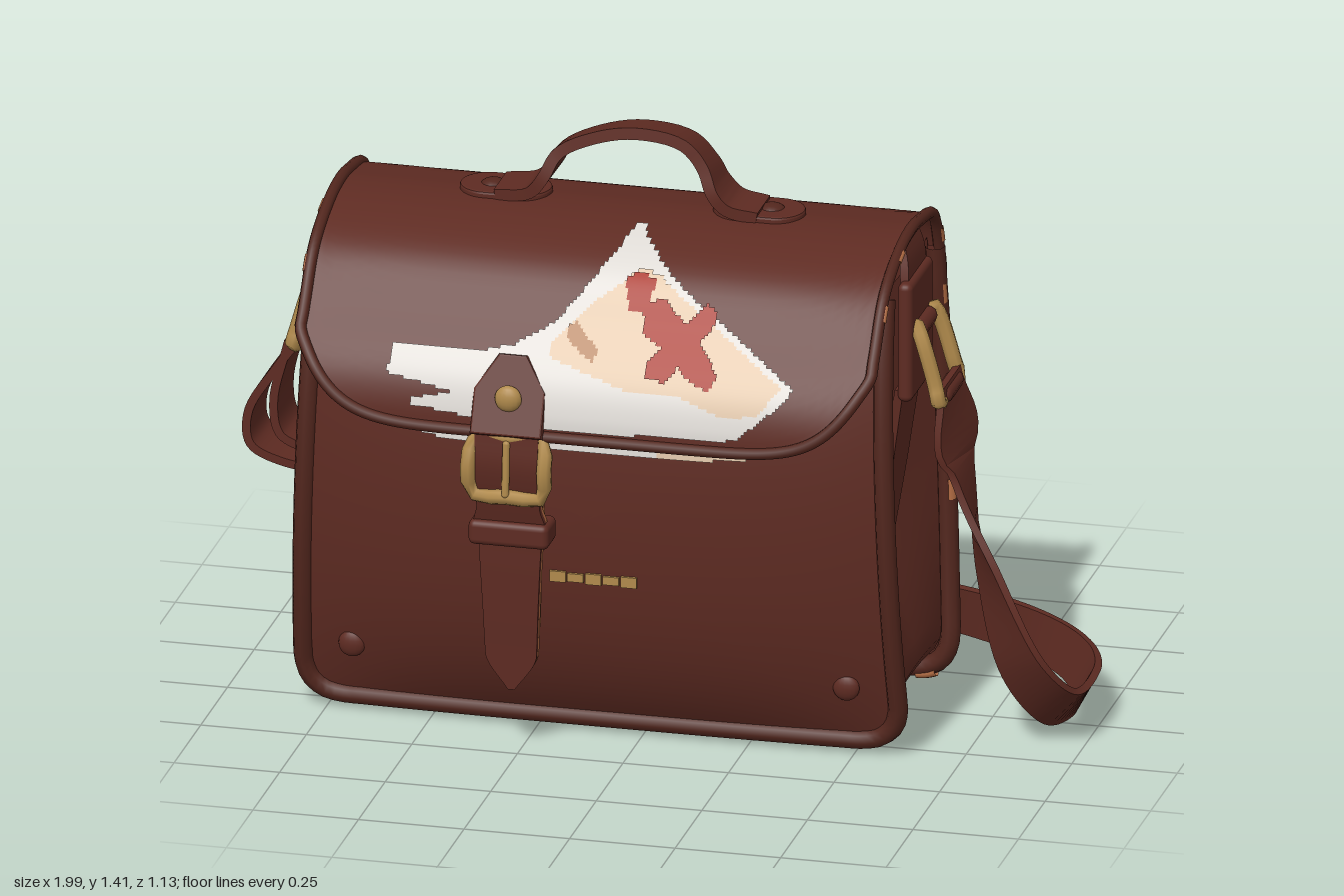
import * as THREE from 'three';
import { mergeVertices, toCreasedNormals } from 'three/addons/utils/BufferGeometryUtils.js';
import { RoundedBoxGeometry } from 'three/addons/geometries/RoundedBoxGeometry.js';
import { ParametricGeometry } from 'three/addons/geometries/ParametricGeometry.js';

const CX = -0.1; // body centre in x
const V = (x, y, z) => new THREE.Vector3(x, y, z);
const { lerp, clamp, smoothstep } = THREE.MathUtils;

function material(name, color) {
  const m = new THREE.MeshStandardMaterial({ color, side: THREE.DoubleSide });
  m.name = name;
  return m;
}

// Depth of the seams and of the bulging panels
const rimF = y => 0.36 - 0.24 * (y - 0.58) ** 2;
const rimB = y => -0.195 + 0.08 * (y - 0.58) ** 2;
const swell = (x, w, k) => {
  const u = Math.min(1, Math.abs(x - CX) / 0.71);
  return (1 - u ** 3) * (1 - Math.min(1, Math.abs(w)) ** k);
};
const frontZ = (x, y) => rimF(y) + 0.08 * swell(x, (y - 0.57) / 0.56, 4);
const backZ = (x, y) => rimB(y) - 0.095 * swell(x, (y - 0.46) / 0.52, 3);

// Panel outline: slightly tapered U, optionally closed along the top
function outline(inset, top, closed) {
  const a = 0.675 - inset, b = 0.71 - inset, y0 = 0.03 + inset, r = 0.1;
  const s = new THREE.Path().moveTo(-a, top).lineTo(-b, y0 + r);
  s.quadraticCurveTo(-b, y0, -b + r, y0).lineTo(b - r, y0);
  s.quadraticCurveTo(b, y0, b, y0 + r).lineTo(a, top);
  if (closed) s.lineTo(-a, top);
  return s;
}

function surface(fn, nu, nv) {
  const g = new ParametricGeometry(fn, nu, nv);
  g.computeVertexNormals();
  return g;
}

// Flap: columns running from the back seam over the top to the front edge
const columns = new Map();
function flapCurve(u) {
  if (!columns.has(u)) {
    const x = CX + 0.675 * u;
    const pts = [0.62, 0.76, 0.92].map(y => V(x, y, backZ(x, y) - 0.01));
    const over = [[1.08, -0.185], [1.175, -0.13], [1.207, 0], [1.214, 0.08], [1.2, 0.19],
      [1.14, 0.33], [1.035, 0.415], [0.92, 0.5], [0.85, 0.523], [0.8, 0.527]];
    over.forEach(([y, z]) => pts.push(V(x, y, z)));
    columns.set(u, new THREE.CatmullRomCurve3(pts));
  }
  return columns.get(u);
}
const flapPoint = (u, v) => flapCurve(u).getPointAt(clamp(v * (1 - 0.14 * Math.abs(u) ** 8), 0, 1));
const flapProfile = flapCurve(0).getSpacedPoints(300).filter(p => p.z > 0.09);
function flapZ(x, y) {
  const i = Math.max(1, flapProfile.findIndex(p => p.y <= y));
  const a = flapProfile[i - 1], b = flapProfile[i];
  return lerp(a.z, b.z, (a.y - y) / (a.y - b.y));
}

// Flat strip with a rectangular section; points and half-width vectors are splined
function ribbon(points, widths, thick, n = 48) {
  const path = new THREE.CatmullRomCurve3(points.map(p => V(...p)));
  const wide = new THREE.CatmullRomCurve3(widths.map(p => V(...p)));
  const corner = [[-1, -1], [1, -1], [1, 1], [-1, 1], [-1, -1]];
  const g = new ParametricGeometry((u, v, out) => {
    const t = clamp((u * (n + 2) - 1) / n, 0, 1);
    const end = u < 1e-4 || u > 1 - 1e-4 ? 0 : 1;
    const w = wide.getPoint(t);
    const nrm = path.getTangent(t).cross(w).normalize();
    const [a, b] = corner[Math.round(v * 4)];
    out.copy(path.getPoint(t)).addScaledVector(w, a * end).addScaledVector(nrm, b * end * thick / 2);
  }, n + 2, 4);
  return toCreasedNormals(g, 0.7);
}

function inside(poly, x, y) {
  let hit = false;
  poly.forEach(([ax, ay], i) => {
    const [bx, by] = poly[(i + 1) % poly.length];
    if ((ay > y) !== (by > y) && x < ax + (bx - ax) * (y - ay) / (by - ay)) hit = !hit;
  });
  return hit;
}

// Painted area made of small cells laid just above a surface z = zf(x, y)
function paint(poly, zf, lift) {
  const d = 0.007, pos = [];
  const at = (x, y) => {
    const z = zf(x, y), slope = (zf(x, y + 0.004) - zf(x, y - 0.004)) / 0.008;
    const p = V(0, -slope, 1).normalize().multiplyScalar(lift).add(V(x, y, z));
    return [p.x, p.y, p.z];
  };
  for (let x = -0.7; x < 0.5; x += d) for (let y = 0.7; y < 1.203; y += d) {
    if (!inside(poly, x + d / 2, y + d / 2)) continue;
    const a = at(x, y), b = at(x + d, y), c = at(x + d, y + d), e = at(x, y + d);
    pos.push(...a, ...b, ...c, ...a, ...c, ...e);
  }
  let g = new THREE.BufferGeometry();
  g.setAttribute('position', new THREE.Float32BufferAttribute(pos, 3));
  g = mergeVertices(g);
  g.computeVertexNormals();
  return g;
}

export function createModel() {
  const root = new THREE.Group();
  const leather = material('brown leather', 0x5e2b22);
  const trim = material('dark leather trim', 0x52261d);
  const brass = material('brass', 0xb08a4c);
  const tan = material('raw leather edge', 0xb06b42);
  const white = material('white paint', 0xdedad5);
  const peach = material('peach paint', 0xe0c6aa);
  const red = material('red paint', 0xa82810);
  const ochre = material('ochre paint', 0xb78660);

  function add(name, geo, mat, x = 0, y = 0, z = 0) {
    const m = new THREE.Mesh(geo, mat);
    m.name = name;
    m.position.set(x, y, z);
    root.add(m);
    return m;
  }
  function bar(name, a, b, r, mat) {
    const m = add(name, new THREE.CapsuleGeometry(r, a.distanceTo(b), 4, 10), mat);
    m.position.copy(a).lerp(b, 0.5);
    m.quaternion.setFromUnitVectors(V(0, 1, 0), b.clone().sub(a).normalize());
  }
  function tube(name, pts, r, mat, closed = false) {
    const curve = new THREE.CatmullRomCurve3(pts, closed);
    add(name, new THREE.TubeGeometry(curve, pts.length * 2, r, 8, closed), mat);
  }
  function stud(name, x, y, z, r, mat) {
    return add(name, new THREE.SphereGeometry(r, 16, 10), mat, x, y, z);
  }

  // Front and back panels with piping and rivets
  for (const [side, zf, top] of [['front', frontZ, 1.12], ['back', backZ, 1.08]]) {
    const edge = outline(0, top, true);
    add(side + 'Panel', surface((u, v, out) => {
      const p = edge.getPoint(u);
      const x = CX + p.x * v, y = lerp(0.57, p.y, v);
      out.set(x, y, zf(x, y));
    }, 96, 14), leather);
    const along = (inset, a, b, n, dz = 0) => {
      const rim = outline(inset, top, false);
      return Array.from({ length: n + 1 }, (_, i) => {
        const p = rim.getPoint(lerp(a, b, i / n));
        return V(CX + p.x, p.y, zf(CX + p.x, p.y) + dz);
      });
    };
    tube(side + 'Piping', along(0.006, 0, 1, 80), 0.024, trim);
    for (const x of [-0.68, 0.49]) stud(side + 'Rivet', x, 0.18, zf(x, 0.18), 0.032, leather).scale.z = 0.5;
    if (side === 'front') continue;
    // Thin streaks where the back edge is worn, long on one side and base
    for (let i = 0; i < 16; i++) {
      const t = 0.03 + i * 0.034;
      tube('wornEdge', along(-0.004, t, t + 0.02 + 0.005 * (i % 3), 6, i % 3 ? -0.013 : 0.004), 0.0125, tan);
    }
    for (const t of [0.6, 0.68, 0.82, 0.89, 0.93, 0.96]) tube('wornEdge', along(-0.006, t, t + 0.014, 5, 0.006), 0.012, tan);
  }

  // Gusset: sides and base, with the sides folded inwards
  const seam = outline(0.025, 1.1, false);
  add('gusset', surface((u, v, out) => {
    const p = seam.getPoint(u), k = 2 * v - 1;
    const fold = smoothstep(p.y, 0.08, 0.6) * (1 - Math.abs(k) ** 1.3);
    const y = p.y - 0.12 * smoothstep(p.y, 0.8, 1.1) * (1 - k * k) + 0.02 * (1 - k * k) * (1 - smoothstep(p.y, 0.06, 0.2));
    out.set(CX + p.x * (1 - 0.16 * fold), y, lerp(rimF(p.y), rimB(p.y), v));
  }, 100, 16), leather);

  // Flap, its piping and a few worn flecks on the side edges
  add('flap', surface((u, v, out) => out.copy(flapPoint(u * 2 - 1, v)), 48, 56), leather);
  const edge = [];
  for (let i = 0; i < 40; i++) edge.push(flapPoint(-1, i / 40));
  for (let i = 0; i <= 60; i++) edge.push(flapPoint(i / 30 - 1, 1));
  for (let i = 39; i >= 0; i--) edge.push(flapPoint(1, i / 40));
  tube('flapPiping', edge, 0.014, trim);
  tube('backSeam', Array.from({ length: 31 }, (_, i) => flapPoint(i / 15 - 1, 0)), 0.006, trim);
  for (const s of [-1, 1]) for (const v of [0.06, 0.13, 0.24, 0.31, 0.38, 0.72, 0.86]) {
    const pts = Array.from({ length: 5 }, (_, i) => flapPoint(s, v + i * 0.008).add(V(s * 0.008, 0, 0)));
    tube('wornFlapEdge', pts, 0.0085, tan);
  }

  // Painted picture on the flap, continued on the front panel
  add('whitePaint', paint([[-0.045, 1.205], [-0.03, 1.205], [0.08, 1.14], [0.4, 0.95], [0.38, 0.92], [0.27, 0.83], [-0.2, 0.815], [-0.5, 0.85],
    [-0.5, 0.865], [-0.4, 0.885], [-0.56, 0.915], [-0.55, 0.97], [-0.36, 0.97], [-0.27, 0.99], [-0.18, 1.04]], flapZ, 0.005), white);
  add('peachPaint', paint([[0.0, 1.15], [0.05, 1.14], [0.37, 0.95], [0.32, 0.89], [0.24, 0.88], [0.12, 0.92], [0.0, 0.92], [-0.18, 0.97],
    [-0.18, 1.0], [-0.1, 1.08]], flapZ, 0.008), peach);
  add('ochrePaint', paint([[-0.15, 1.03], [-0.13, 1.04], [-0.07, 0.99], [-0.08, 0.965], [-0.15, 1.01]], flapZ, 0.011), ochre);
  add('redBlot', paint([[-0.03, 1.13], [0, 1.145], [0.04, 1.13], [0.035, 1.07], [-0.01, 1.07]], flapZ, 0.011), red);
  add('redStrokeLong', paint([[0.02, 1.09], [0.07, 1.1], [0.13, 1.05], [0.17, 1.02], [0.22, 0.96], [0.2, 0.93], [0.15, 0.95],
    [0.1, 0.99], [0.03, 1.03]], flapZ, 0.0115), red);
  add('redStrokeShort', paint([[0.17, 1.1], [0.2, 1.08], [0.19, 1.05], [0.13, 0.98], [0.1, 0.94], [0.05, 0.945], [0.05, 0.98],
    [0.1, 1.03]], flapZ, 0.012), red);
  add('lowerWhitePaint', paint([[-0.66, 0.81], [-0.58, 0.77], [-0.48, 0.74], [-0.35, 0.73], [0.06, 0.735], [0.06, 0.8]], frontZ, 0.004), white);
  add('lowerPeachPaint', paint([[0.06, 0.8], [0.06, 0.735], [0.25, 0.74], [0.38, 0.77], [0.42, 0.8]], frontZ, 0.004), peach);

  // Carrying handle with its two riveted pads
  const pad = new THREE.Shape();
  pad.absarc(-0.04, 0, 0.062, Math.PI / 2, Math.PI * 1.5);
  pad.absarc(0.04, 0, 0.062, -Math.PI / 2, Math.PI / 2);
  const padGeo = new THREE.ExtrudeGeometry(pad, { depth: 0.016, bevelSize: 0.006, bevelThickness: 0.006, bevelSegments: 2, curveSegments: 16 });
  for (const x of [-0.39, 0.21]) {
    add('handlePad', padGeo, leather, x, 1.205, 0.05).rotation.x = -Math.PI / 2;
    stud('handleRivet', x + (x < 0 ? -0.03 : 0.03), 1.222, 0.05, 0.03, trim).scale.y = 0.5;
  }
  add('handle', ribbon([[-0.4, 1.222, 0.06], [-0.32, 1.235, 0.06], [-0.285, 1.275, 0.06], [-0.255, 1.325, 0.055], [-0.17, 1.368, 0.05],
    [-0.07, 1.388, 0.05], [0.04, 1.37, 0.05], [0.09, 1.32, 0.055], [0.115, 1.27, 0.06], [0.15, 1.235, 0.06], [0.22, 1.222, 0.06]],
  [[0, 0, 0.06], [0, 0, 0.065], [0, 0.008, 0.052], [0, 0.008, 0.05], [0, 0.008, 0.052], [0, 0, 0.065], [0, 0, 0.06]], 0.028), leather);

  // Side tabs; each ring shows its brass sides between two leather rolls
  for (const s of [-1, 1]) {
    const at = (x, y, z) => V(CX + s * x, y, z);
    add('sideTab', new RoundedBoxGeometry(0.035, 0.29, 0.21, 3, 0.015), leather, CX + s * 0.685, 0.97, 0.075);
    add('tabTop', ribbon([[CX + s * 0.68, 1.08, 0.07], [CX + s * 0.675, 1.15, 0.065], [CX + s * 0.66, 1.2, 0.06]],
      [[0, 0, 0.085], [0, 0, 0.062]], 0.02, 8), leather);
    for (const [z, dz] of [[0.16, 0.012], [-0.005, -0.006]]) {
      tube('sideRing', [at(0.7, 0.995, z - 3 * dz), at(0.71, 1.0, z - dz), at(0.725, 0.97, z), at(0.755, 0.87, z + dz / 2),
        at(0.765, 0.83, z + dz), at(0.76, 0.825, z - 2 * dz)], 0.019, brass);
    }
    bar('tabRoll', at(0.705, 0.99, 0.12), at(0.705, 0.99, 0.035), 0.022, leather);
    bar('strapRoll', at(0.765, 0.835, 0.125), at(0.765, 0.835, 0.025), 0.022, leather);
    add('tabTail', ribbon([[CX + s * 0.67, 0.85, 0.08], [CX + s * 0.64, 0.65, 0.07], [CX + s * 0.6, 0.42, 0.0]],
      [[0, 0, 0.09], [0, 0, 0.08], [0, 0, 0.02]], 0.02, 16), leather);
  }

  // Shoulder strap trailing to the ground, and the short loop on the other side
  add('shoulderStrap', ribbon([[0.665, 0.86, 0.08], [0.7, 0.66, 0.1], [0.78, 0.42, 0.16], [0.87, 0.21, 0.2], [0.94, 0.1, 0.14],
    [0.965, 0.085, 0], [0.93, 0.085, -0.14], [0.84, 0.085, -0.27], [0.66, 0.085, -0.4], [0.4, 0.085, -0.49], [0.08, 0.055, -0.545], [-0.22, 0.012, -0.52]],
  [[0, 0, 0.08], [0, 0, 0.08], [0.035, 0.02, 0.055], [0.055, 0.03, 0.035], [0.045, 0.045, 0.015], [0.03, 0.055, 0],
    [0.025, 0.055, 0], [0.015, 0.057, 0], [0.01, 0.06, 0.01], [0.006, 0.055, 0.015], [0, 0.038, 0.01], [0, 0.008, 0]], 0.018, 90), leather);
  add('shortStrapLoop', ribbon([[-0.86, 0.83, 0.08], [-0.91, 0.76, 0.08], [-0.975, 0.65, 0.08], [-0.97, 0.57, 0.08], [-0.9, 0.535, 0.08],
    [-0.83, 0.53, 0.08], [-0.83, 0.56, 0.08], [-0.9, 0.6, 0.08], [-0.915, 0.68, 0.08], [-0.88, 0.83, 0.08]],
  [[0, 0, 0.075], [0, 0, 0.075]], 0.02, 60), leather);

  // Closing tab with its backing, buckle, keeper and hanging strap
  const tab = new THREE.Shape([[-0.08, 0], [0.08, 0], [0.08, 0.1], [0.03, 0.18], [-0.03, 0.18], [-0.08, 0.1]].map(p => new THREE.Vector2(...p)));
  const tabGeo = new THREE.ExtrudeGeometry(tab, { depth: 0.015, bevelSize: 0.005, bevelThickness: 0.005, bevelSegments: 2 });
  add('closingTab', tabGeo, leather, -0.265, 0.8, 0.537).rotation.x = -0.4;
  add('tabBacking', new THREE.BoxGeometry(0.13, 0.13, 0.02), tan, -0.265, 0.915, 0.455).rotation.x = -0.28;
  stud('brassStud', -0.265, 0.885, 0.527, 0.032, brass).scale.z = 0.6;
  tube('buckle', [[-0.34, 0.79, 0.525], [-0.265, 0.79, 0.53], [-0.185, 0.79, 0.525], [-0.175, 0.72, 0.55], [-0.185, 0.65, 0.535],
    [-0.265, 0.65, 0.545], [-0.345, 0.65, 0.535], [-0.355, 0.72, 0.55]].map(p => V(...p)), 0.018, brass, true);
  bar('bucklePin', V(-0.265, 0.78, 0.545), V(-0.265, 0.66, 0.555), 0.009, brass);
  const taper = [0.075, 0.075, 0.075, 0.075, 0.07, 0.065, 0.06, 0.008].map(w => [w, 0, 0]);
  const drop = dz => [[0.8, 0.53], [0.72, 0.535], [0.62, 0.515], [0.55, 0.5], [0.45, 0.497], [0.35, 0.493], [0.24, 0.488], [0.16, 0.485]]
    .map(([y, z]) => [-0.265, y, z + dz]);
  add('buckleStrap', ribbon(drop(0.008), taper, 0.012), leather);
  add('buckleStrapEdge', ribbon(drop(-0.004), taper, 0.014), tan);
  add('underStrap', ribbon([[-0.265, 0.72, 0.47], [-0.265, 0.5, 0.46], [-0.265, 0.3, 0.447], [-0.265, 0.2, 0.44]],
    [[0.06, 0, 0], [0.06, 0, 0], [0.055, 0, 0], [0.015, 0, 0]], 0.016, 20), tan);
  add('strapKeeper', new RoundedBoxGeometry(0.19, 0.06, 0.09, 3, 0.015), leather, -0.265, 0.55, 0.49);

  // Plain worn brass trim beside the strap
  for (let i = 0; i < 5; i++) {
    const x = -0.17 + i * 0.042;
    add('brassTrim', new THREE.BoxGeometry(0.038, 0.026 - 0.006 * (i % 2), 0.008), brass, x, 0.425, frontZ(x, 0.425) + 0.004);
  }
  return root;
}
